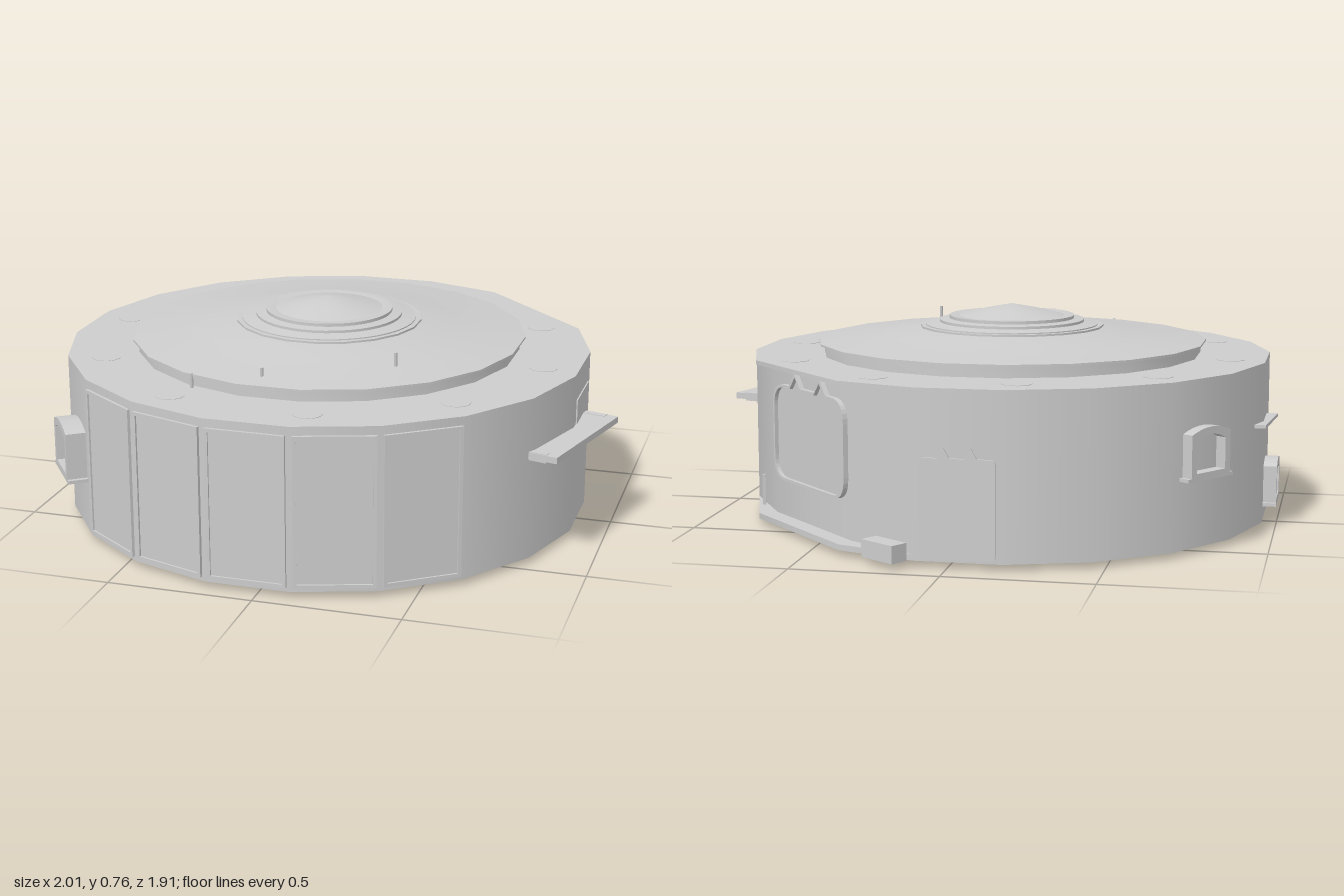
import * as THREE from 'three';
import { toCreasedNormals } from 'three/addons/utils/BufferGeometryUtils.js';

const CX = -0.035, CZ = 0.025, SIDES = 20, STEP = Math.PI / 10, R = 0.93;
const APOTHEM = R * Math.cos(STEP / 2);
const rad = THREE.MathUtils.degToRad;

export function createModel() {
  const grey = new THREE.MeshStandardMaterial({ color: 0xcccccc, side: THREE.DoubleSide });
  grey.name = 'light grey';
  const model = new THREE.Group();
  model.name = 'roundPavilion';

  function add(name, geometry, x = 0, y = 0, z = 0, parent = model) {
    const mesh = new THREE.Mesh(geometry, grey);
    mesh.name = name;
    mesh.position.set(x, y, z);
    parent.add(mesh);
    return mesh;
  }
  // Local +z points outward; the angle runs from the front towards the left side
  function around(name, angle, radius, y, parent = model) {
    const group = new THREE.Group();
    const a = rad(angle);
    group.name = name;
    group.position.set(CX + Math.sin(a) * radius, y, CZ + Math.cos(a) * radius);
    group.rotation.y = a;
    parent.add(group);
    return group;
  }
  const box = (w, h, d) => new THREE.BoxGeometry(w, h, d);

  // Twenty-sided drum with one back corner cut flat and optionally set in
  function drum(height, open, inset) {
    const g = new THREE.CylinderGeometry(R, R, height, SIDES, 1, open, STEP / 2);
    const p = g.attributes.position;
    for (let i = 0; i < p.count; i++) {
      const deg = THREE.MathUtils.radToDeg(Math.atan2(p.getX(i), p.getZ(i)));
      let k = 1;
      if (Math.abs(deg - 135) < 2) k = Math.cos(STEP) * inset;
      else if (Math.abs(deg - 135) < 20) k = inset;
      if (Math.hypot(p.getX(i), p.getZ(i)) > 0.1) {
        p.setX(i, p.getX(i) * k);
        p.setZ(i, p.getZ(i) * k);
      }
    }
    return g;
  }
  add('floor', drum(0.02, false, 1), CX, 0.03, CZ);
  add('wall', drum(0.545, true, 0.93), CX, 0.3025, CZ);
  add('roofSlab', drum(0.015, false, 1), CX, 0.5775, CZ);

  // Stepped roof and central cap
  function lathe(points, segments) {
    const g = new THREE.LatheGeometry(points.map(q => new THREE.Vector2(q[0], q[1])), segments, Math.PI / segments);
    return toCreasedNormals(g, 0.36);
  }
  add('upperRoof', lathe([[0.68, 0.58], [0.68, 0.625], [0.7, 0.625], [0.7, 0.632], [0.66, 0.637],
    [0.48, 0.655], [0.46, 0.659], [0.33, 0.676], [0.33, 0.683], [0, 0.684]], SIDES), CX, 0, CZ);
  add('roofCap', lathe([[0.31, 0.67], [0.31, 0.687], [0.26, 0.694], [0.26, 0.703], [0.225, 0.707],
    [0.225, 0.718], [0.205, 0.718], [0.19, 0.716], [0.1, 0.738], [0, 0.758]], 40), CX, 0, CZ);

  // Front glazing: a frame and pane on each of five facets
  function frameShape(w, h, t) {
    const rect = (c, a, b) => c.moveTo(-a, -b).lineTo(a, -b).lineTo(a, b).lineTo(-a, b).closePath();
    const s = rect(new THREE.Shape(), w / 2, h / 2);
    s.holes.push(rect(new THREE.Path(), w / 2 - t, h / 2 - t));
    return s;
  }
  const extrude = (shape, depth) => new THREE.ExtrudeGeometry(shape, { depth, bevelEnabled: false, curveSegments: 8 });
  for (let i = -2; i <= 2; i++) {
    const bay = around('frontWindow', i * 18, APOTHEM, 0.295);
    add('windowFrame', extrude(frameShape(0.27, 0.52, 0.012), 0.01), 0, 0, 0, bay);
    add('windowPane', box(0.245, 0.495, 0.006), 0, 0, 0.001, bay);
  }

  // Arched side windows with sills
  function archedWindow(angle, y, w, h, depth) {
    const group = around('archedWindow', angle, APOTHEM - 0.01, y);
    const arch = (c, a, bottom, top) => c.moveTo(-a, bottom).lineTo(a, bottom).lineTo(a, top)
      .quadraticCurveTo(0, top + 0.04, -a, top).closePath();
    const s = arch(new THREE.Shape(), w / 2, 0, h - 0.02);
    s.holes.push(arch(new THREE.Path(), w / 2 - 0.025, 0.02, h - 0.045));
    add('frame', extrude(s, depth), 0, 0, 0, group);
    add('sill', box(w + 0.03, 0.012, depth), 0, 0, depth / 2, group);
  }
  archedWindow(-54, 0.21, 0.2, 0.19, 0.08);
  archedWindow(-90, 0.075, 0.17, 0.155, 0.057);
  archedWindow(-126, 0.26, 0.19, 0.17, 0.05);

  // Thin shelf on the right wall
  add('wallShelf', box(0.26, 0.012, 0.05), 0, 0, 0, around('rightShelf', -96, 0.925, 0.375));

  // Counter shelf on the left wall, with hatch and brackets
  const counter = new THREE.Group();
  counter.name = 'counter';
  counter.position.set(0.89, 0.39, 0.235);
  counter.rotation.y = rad(75);
  model.add(counter);
  add('counterTop', box(0.49, 0.022, 0.12), 0, 0, 0, counter);
  for (const x of [-0.23, 0.23]) add('bracket', box(0.025, 0.03, 0.08), x, -0.002, -0.02, counter);
  add('hatch', box(0.22, 0.09, 0.009), 0, 0.048, 0, around('hatchMount', 90, APOTHEM, 0.395));

  // Eared outlines: the big window in the cut corner and the back door
  function earedPath(c, w, h, r, ear) {
    const a = w / 2;
    c.moveTo(-a + r, 0).lineTo(a - r, 0).quadraticCurveTo(a, 0, a, r).lineTo(a, h - r)
      .quadraticCurveTo(a, h, a - r, h);
    c.lineTo(a * 0.52, h).lineTo(a * 0.36, h + ear).lineTo(a * 0.2, h);
    c.lineTo(-a * 0.2, h).lineTo(-a * 0.36, h + ear).lineTo(-a * 0.52, h);
    return c.lineTo(-a + r, h).quadraticCurveTo(-a, h, -a, h - r).lineTo(-a, r)
      .quadraticCurveTo(-a, 0, -a + r, 0);
  }
  const cornerWindow = around('earedWindow', 135, R * Math.cos(STEP) * 0.93, 0.17);
  const ring = earedPath(new THREE.Shape(), 0.5, 0.34, 0.08, 0.05);
  const opening = earedPath(new THREE.Path(), 0.48, 0.32, 0.072, 0.045);
  ring.holes.push(new THREE.Path(opening.getPoints(8).map(p => p.add(new THREE.Vector2(0, 0.01)))));
  add('windowRim', extrude(ring, 0.018), 0, 0, 0, cornerWindow);
  add('glass', new THREE.ShapeGeometry(earedPath(new THREE.Shape(), 0.49, 0.33, 0.076, 0.045)), 0, 0.004, 0.004, cornerWindow);
  add('backDoor', extrude(earedPath(new THREE.Shape(), 0.25, 0.33, 0.02, 0.035), 0.008),
    0, 0, 0, around('backDoorMount', 180, APOTHEM, 0.03));

  // Door step and small post beside the cut corner
  const step = add('doorStep', box(0.145, 0.06, 0.065), 0.21, 0.05, -0.89);
  step.rotation.y = rad(-33);
  add('wallPost', box(0.012, 0.13, 0.012), 0, 0, 0, around('postMount', 108, 0.9, 0.085));

  // Small pegs on the roof
  for (const [x, y, z] of [[0.32, 0.67, 0.43], [-0.32, 0.61, 0.66], [-0.08, 0.645, 0.64]])
    add('roofPeg', new THREE.CylinderGeometry(0.006, 0.006, 0.05, 6), x, y, z);

  // Flat rounded patches on the roof rim
  for (let i = 0; i < 10; i++)
    add('roofPatch', new THREE.CylinderGeometry(0.05, 0.05, 0.002, 12), 0, 0.0005, 0,
      around('patchMount', i * 36 + 12, 0.8, 0.585));

  // Round pad below, with paw-shaped reliefs
  add('basePad', new THREE.CylinderGeometry(0.36, 0.35, 0.018, 32), CX, 0.013, CZ);
  const pads = [[0, 0.06, 0.13, 0.1], [-0.17, -0.06, 0.05, 0.065], [-0.06, -0.15, 0.05, 0.07],
    [0.06, -0.15, 0.05, 0.07], [0.17, -0.06, 0.05, 0.065]];
  for (const [x, z, rx, rz] of pads)
    add('pawPad', new THREE.CylinderGeometry(1, 1, 0.005, 20), CX + x, 0.0025, CZ + z).scale.set(rx, 1, rz);

  return model;
}
